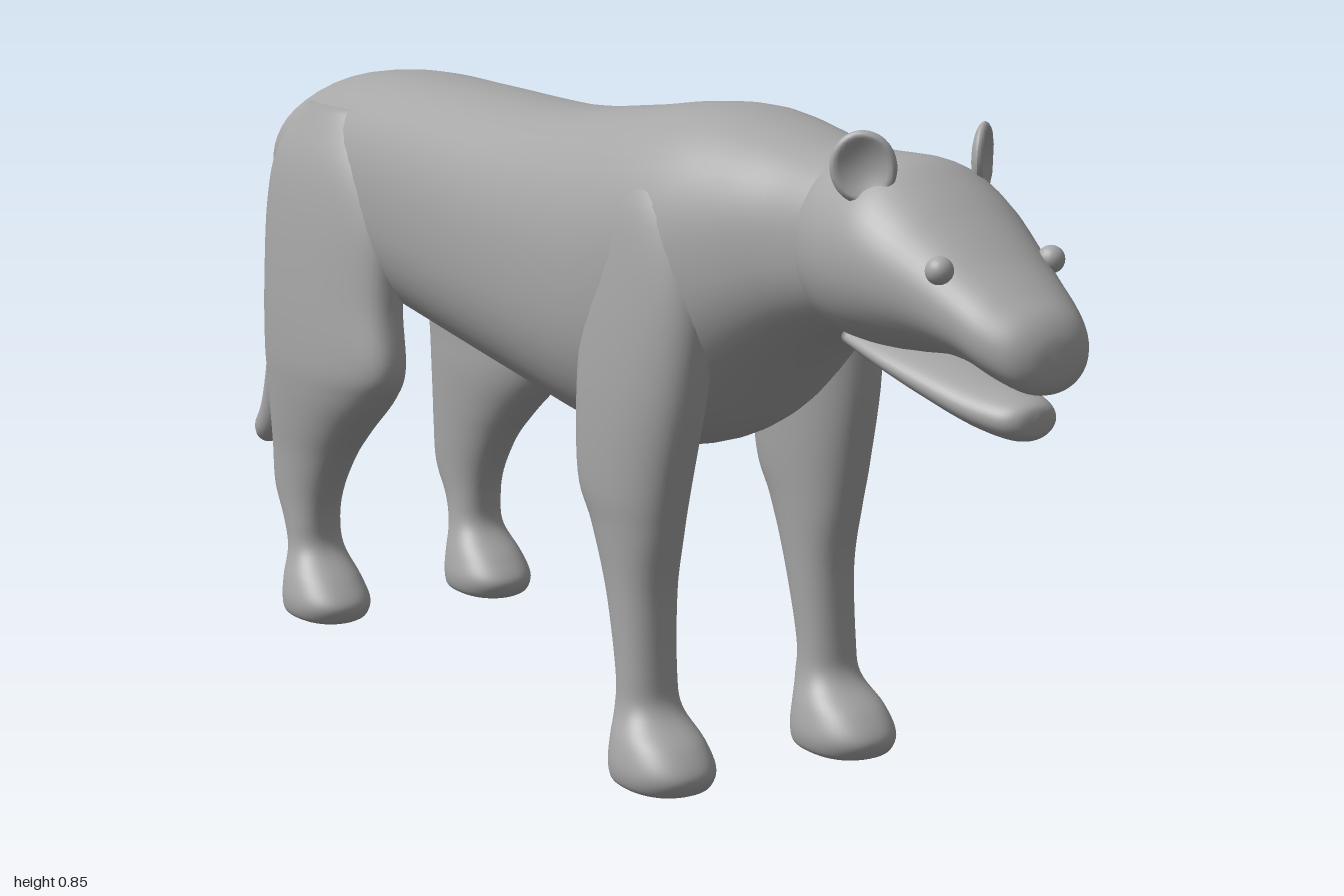
import * as THREE from 'three';

const SEG = 48;

// Catmull-Rom through rows of numbers, component by component
function smoothRows(rows, steps) {
  const out = [];
  const n = rows.length;
  for (let i = 0; i < n - 1; i++) {
    const p = [rows[Math.max(i - 1, 0)], rows[i], rows[i + 1], rows[Math.min(i + 2, n - 1)]];
    for (let s = 0; s < steps; s++) {
      const t = s / steps;
      out.push(p[1].map((b, k) => {
        const a = p[0][k], c = p[2][k], d = p[3][k];
        return 0.5 * (2 * b + (c - a) * t + (2 * a - 5 * b + 4 * c - d) * t * t + (3 * b - a - 3 * c + d) * t * t * t);
      }));
    }
  }
  out.push(rows[n - 1]);
  return out;
}

// Closed skin over rows [t, u0, u1, v0, v1], t ascending.
// axis 'z': u = x, v = y.  axis 'y': u = z, v = x.
function loft(rows, axis, power = 2) {
  const rings = smoothRows(rows, 6);
  const place = axis === 'z' ? (t, u, v) => [u, v, t] : (t, u, v) => [v, t, u];
  const pos = [], index = [];
  const bend = (c) => Math.sign(c) * Math.pow(Math.abs(c), 2 / power);
  for (const [t, u0, u1, v0, v1] of rings) {
    for (let j = 0; j < SEG; j++) {
      const a = (j / SEG) * Math.PI * 2;
      pos.push(...place(t, (u0 + u1) / 2 + ((u1 - u0) / 2) * bend(Math.cos(a)),
        (v0 + v1) / 2 + ((v1 - v0) / 2) * bend(Math.sin(a))));
    }
  }
  for (let i = 0; i < rings.length - 1; i++) {
    for (let j = 0; j < SEG; j++) {
      const a = i * SEG + j, b = i * SEG + ((j + 1) % SEG), c = a + SEG, d = b + SEG;
      index.push(a, b, d, a, d, c);
    }
  }
  // end caps
  [0, rings.length - 1].forEach((i, end) => {
    const [t, u0, u1, v0, v1] = rings[i];
    const centre = pos.length / 3;
    pos.push(...place(t, (u0 + u1) / 2, (v0 + v1) / 2));
    for (let j = 0; j < SEG; j++) {
      const a = i * SEG + j, b = i * SEG + ((j + 1) % SEG);
      if (end) index.push(centre, a, b);
      else index.push(centre, b, a);
    }
  });
  const g = new THREE.BufferGeometry();
  g.setAttribute('position', new THREE.Float32BufferAttribute(pos, 3));
  g.setIndex(index);
  g.computeVertexNormals();
  return g;
}

// Rows [z, halfWidth, bottom, top] for parts symmetric about x = 0
const centred = (rows, power) => loft(rows.map(([z, w, b, t]) => [z, -w, w, b, t]), 'z', power);

// Rows [y, back, front, inner, outer] for a leg on the given side
const leg = (rows, side) => loft(rows.map(([y, b, f, i, o]) =>
  side > 0 ? [y, b, f, i, o] : [y, b, f, -o, -i]), 'y', 2.2);

const BODY = [
  [-0.75, 0.01, 0.655, 0.68], [-0.74, 0.06, 0.61, 0.715], [-0.7, 0.11, 0.575, 0.75],
  [-0.64, 0.138, 0.55, 0.782], [-0.55, 0.152, 0.52, 0.81], [-0.42, 0.158, 0.49, 0.82],
  [-0.25, 0.16, 0.462, 0.815], [0, 0.168, 0.425, 0.808], [0.2, 0.18, 0.398, 0.825],
  [0.32, 0.182, 0.4, 0.84], [0.42, 0.168, 0.44, 0.844], [0.52, 0.138, 0.52, 0.83],
  [0.6, 0.113, 0.575, 0.815], [0.68, 0.097, 0.605, 0.803], [0.74, 0.08, 0.63, 0.78],
];
const HEAD = [
  [0.645, 0.085, 0.625, 0.79], [0.65, 0.102, 0.602, 0.811], [0.7, 0.115, 0.592, 0.815],
  [0.76, 0.121, 0.592, 0.812], [0.81, 0.115, 0.598, 0.787], [0.86, 0.1, 0.602, 0.752],
  [0.91, 0.086, 0.597, 0.715], [0.95, 0.075, 0.584, 0.688], [0.98, 0.058, 0.577, 0.667],
  [0.995, 0.035, 0.59, 0.645], [1, 0.006, 0.612, 0.622],
];
const JAW = [
  [0.7, 0.07, 0.585, 0.625], [0.77, 0.073, 0.565, 0.612], [0.84, 0.066, 0.543, 0.596],
  [0.9, 0.055, 0.526, 0.58], [0.945, 0.042, 0.52, 0.57], [0.963, 0.026, 0.526, 0.562],
  [0.968, 0.004, 0.54, 0.55],
];
const FRONT_LEG = [
  [0, 0.375, 0.49, 0.095, 0.185], [0.008, 0.363, 0.506, 0.084, 0.197], [0.03, 0.36, 0.513, 0.08, 0.201],
  [0.06, 0.362, 0.49, 0.086, 0.195], [0.095, 0.363, 0.445, 0.098, 0.181], [0.14, 0.363, 0.434, 0.101, 0.178],
  [0.24, 0.335, 0.432, 0.096, 0.179], [0.32, 0.3, 0.448, 0.09, 0.185], [0.38, 0.268, 0.462, 0.084, 0.191],
  [0.5, 0.26, 0.488, 0.075, 0.191], [0.62, 0.265, 0.495, 0.06, 0.182], [0.72, 0.285, 0.475, 0.05, 0.166],
  [0.78, 0.32, 0.44, 0.05, 0.135],
];
const HIND_LEG = [
  [0, -0.555, -0.43, 0.095, 0.185], [0.008, -0.565, -0.418, 0.084, 0.197], [0.03, -0.567, -0.412, 0.08, 0.201],
  [0.06, -0.566, -0.437, 0.086, 0.195], [0.1, -0.565, -0.48, 0.098, 0.181], [0.14, -0.58, -0.485, 0.101, 0.18],
  [0.19, -0.615, -0.468, 0.098, 0.182], [0.25, -0.622, -0.425, 0.093, 0.186], [0.3, -0.625, -0.37, 0.088, 0.193],
  [0.36, -0.63, -0.295, 0.082, 0.201], [0.41, -0.635, -0.263, 0.08, 0.204], [0.5, -0.64, -0.28, 0.075, 0.2],
  [0.62, -0.65, -0.29, 0.06, 0.188], [0.7, -0.64, -0.32, 0.05, 0.17], [0.77, -0.58, -0.4, 0.05, 0.135],
];

// Tapered tube with a rounded tip
function tailGeometry() {
  const path = new THREE.CatmullRomCurve3([
    [0.7, -0.66], [0.702, -0.74], [0.655, -0.81], [0.555, -0.855],
    [0.435, -0.886], [0.275, -0.921], [0.215, -0.945], [0.168, -0.988],
  ].map(([y, z]) => new THREE.Vector3(0, y, z)));
  const steps = 60, sides = 24;
  const g = new THREE.TubeGeometry(path, steps, 1, sides);
  const p = g.attributes.position, v = new THREE.Vector3();
  for (let i = 0; i < p.count; i++) {
    const t = Math.floor(i / (sides + 1)) / steps;
    const c = path.getPointAt(t);
    const tip = t > 0.94 ? Math.sqrt(Math.max(0, 1 - ((t - 0.94) / 0.06) ** 2)) : 1;
    v.fromBufferAttribute(p, i).sub(c).multiplyScalar((0.038 - 0.011 * Math.min(1, t * 2)) * tip).add(c);
    p.setXYZ(i, v.x, v.y, v.z);
  }
  g.computeVertexNormals();
  return g;
}

// Flattened oval with a hollowed front
function earGeometry() {
  const g = new THREE.SphereGeometry(1, 32, 24);
  const p = g.attributes.position;
  for (let i = 0; i < p.count; i++) {
    const x = p.getX(i), y = p.getY(i), z = p.getZ(i);
    const hollow = z > 0 ? 1.3 * Math.max(0, 1 - (x * x + y * y) * 1.35) : 0;
    p.setXYZ(i, x * 0.038, y * 0.042, (z - hollow) * 0.012);
  }
  g.computeVertexNormals();
  return g;
}

export function createModel() {
  const model = new THREE.Group();
  model.name = 'bigCat';
  const grey = new THREE.MeshStandardMaterial({ color: 0xa6a6a6 });
  grey.name = 'grey';
  const add = (name, geometry) => {
    const mesh = new THREE.Mesh(geometry, grey);
    mesh.name = name;
    model.add(mesh);
    return mesh;
  };

  add('body', centred(BODY, 2.3));
  add('head', centred(HEAD, 2.1));
  add('lowerJaw', centred(JAW, 2));
  add('tail', tailGeometry());

  // paired parts
  for (const [side, label] of [[1, 'left'], [-1, 'right']]) {
    add(label + 'FrontLeg', leg(FRONT_LEG, side));
    add(label + 'HindLeg', leg(HIND_LEG, side));
    const ear = add(label + 'Ear', earGeometry());
    ear.position.set(side * 0.086, 0.808, 0.757);
    ear.rotation.set(0, side * 0.7, side * -0.12);
    const eye = add(label + 'Eye', new THREE.SphereGeometry(0.016, 20, 14));
    eye.position.set(side * 0.079, 0.708, 0.888);
  }
  return model;
}
